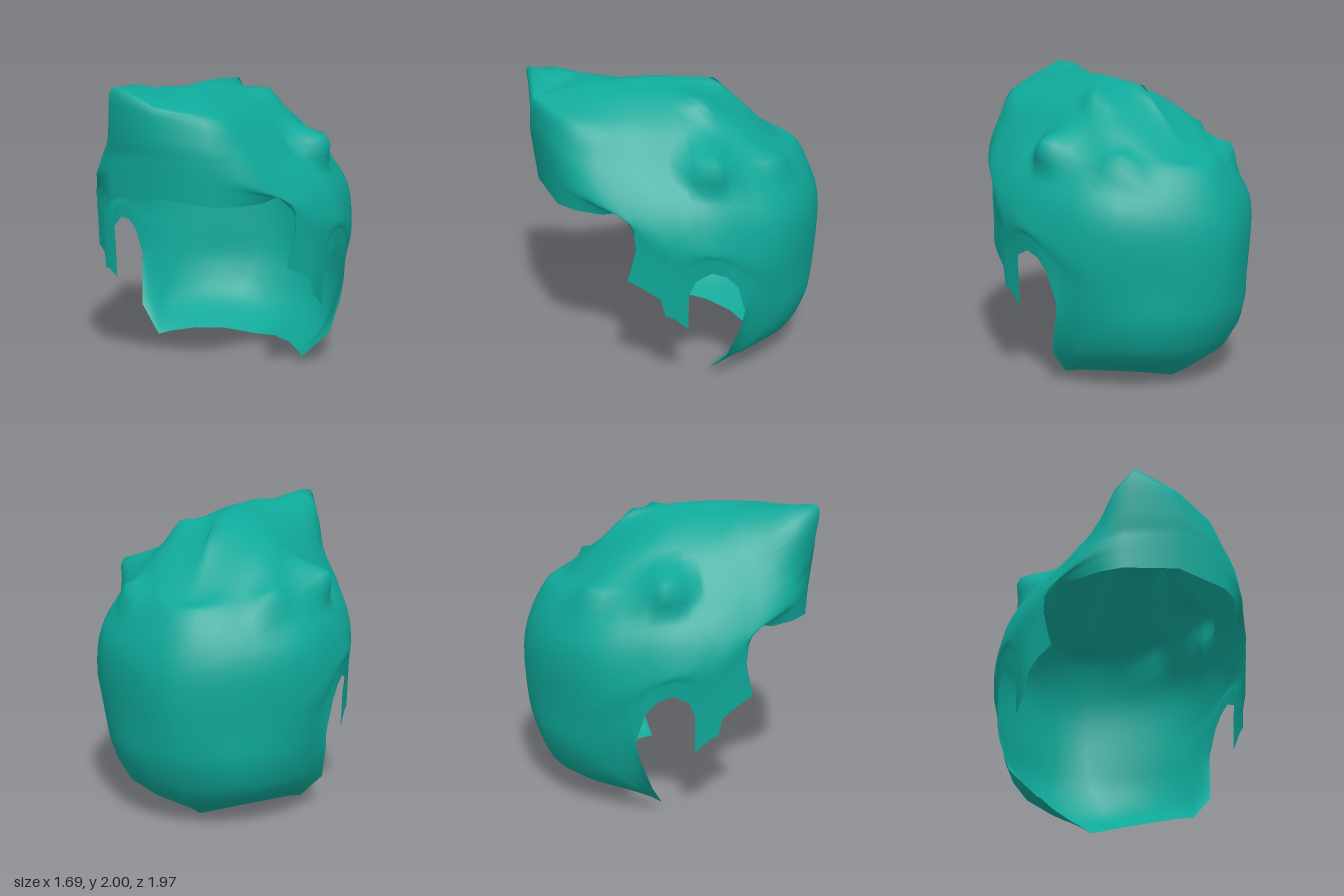
import * as THREE from 'three';
import { mergeVertices } from 'three/addons/utils/BufferGeometryUtils.js';

const V = (x, y, z) => new THREE.Vector3(x, y, z);

// Hem of one side, front centre to back centre: [x, y, z, station t from 0 to 1]
const HEM = [
  [0, 1.32, 0.95, 0], [0.36, 1.285, 0.88, 0.125], [0.48, 1.28, 0.78, 0.19], [0.58, 1.28, 0.63, 0.25],
  [0.63, 1.31, 0.52, 0.3], [0.73, 1.2, 0.46, 0.335], [0.73, 1.07, 0.45, 0.36], [0.69, 0.85, 0.5, 0.41],
  [0.74, 0.8, 0.4, 0.44], [0.77, 0.73, 0.3, 0.47], [0.78, 0.61, 0.27, 0.49], [0.78, 0.59, 0.22, 0.505],
  [0.78, 0.5, 0.12, 0.54], [0.79, 0.75, 0.12, 0.56], [0.82, 0.86, 0.08, 0.59], [0.82, 0.905, -0.02, 0.62],
  [0.82, 0.87, -0.12, 0.65], [0.81, 0.78, -0.2, 0.68], [0.785, 0.58, -0.26, 0.74], [0.775, 0.45, -0.23, 0.79],
  [0.73, 0.23, -0.15, 0.84], [0.56, 0.05, -0.08, 0.88], [0.5, 0.062, -0.15, 0.91], [0.37, 0.062, -0.3, 0.94],
  [0.2, 0.045, -0.43, 0.97], [0, 0.005, -0.52, 1],
];

// Rings above the hem, seven stations each, front centre to back centre
const BELT = [[0, 1.45, 0.965], [0.46, 1.44, 0.82], [0.7, 1.28, 0.49], [0.81, 1.12, 0.22],
  [0.835, 1.05, -0.12], [0.67, 0.84, -0.59], [0, 0.62, -0.96]];
const LOWER_SIDE = [[0, 1.57, 0.98], [0.45, 1.53, 0.81], [0.64, 1.4, 0.48], [0.74, 1.33, 0.2],
  [0.77, 1.28, -0.15], [0.63, 1.18, -0.62], [0, 1.08, -0.97]];
const SHOULDER = [[0, 1.7, 0.99], [0.41, 1.64, 0.8], [0.52, 1.59, 0.47], [0.57, 1.55, 0.18],
  [0.6, 1.52, -0.16], [0.49, 1.44, -0.53], [0, 1.43, -0.83]];
const UPPER_SIDE = [[0, 1.87, 0.97], [0.34, 1.8, 0.76], [0.38, 1.78, 0.45], [0.4, 1.76, 0.15],
  [0.4, 1.74, -0.16], [0.31, 1.65, -0.43], [0, 1.5, -0.68]];

// Locks pulled out of the surface: base, tip, reach
const LOCKS = [
  [V(-0.31, 1.82, 0.84), V(-0.34, 2.02, 0.98), 0.27],
  [V(-0.22, 1.86, 0.6), V(-0.21, 1.94, 0.62), 0.25],
  [V(0.27, 1.86, -0.1), V(0.31, 1.93, -0.1), 0.15],
];
for (const s of [1, -1]) {
  LOCKS.push([V(0.58 * s, 1.53, -0.05), V(0.75 * s, 1.59, -0.05), 0.2]);
  LOCKS.push([V(0.48 * s, 1.45, -0.52), V(0.52 * s, 1.54, -0.56), 0.15]);
}

// A symmetric closed curve through one ring
function ringCurve(points) {
  const half = points.map((p) => V(...p));
  const other = points.slice(1, -1).reverse().map(([x, y, z]) => V(-x, y, z));
  return new THREE.CatmullRomCurve3([...half, ...other], true, 'catmullrom', 0.5);
}

// Centre ridge where both sides meet
const crownPoint = (t) => V(0, 1.925 + 0.045 * Math.sin(Math.PI * t), 0.88 - 1.12 * t);

// Flattened top between the upper side and the crown
function topPoint(upper, t) {
  const p = upper.clone().lerp(crownPoint(t), 0.5);
  p.y += 0.035 * Math.sin(Math.PI * t);
  return p;
}

// Keeps the nape round between hem and belt
function napePoint(hem, belt, t, amount) {
  const p = hem.clone().lerp(belt, amount);
  const k = THREE.MathUtils.smoothstep(t, 0.68, 0.82);
  const radius = Math.sqrt(1 - 0.67 * Math.max(0, 1 - p.y / 0.95) ** 3);
  const f = 1 + (radius / Math.hypot(p.x / 0.82, p.z / 0.97) - 1) * k;
  return V(p.x * f, p.y, p.z * f);
}

function pullLocks(p) {
  const shift = V(0, 0, 0);
  for (const [base, tip, reach] of LOCKS) {
    const w = Math.max(0, 1 - p.distanceTo(base) / reach);
    shift.addScaledVector(tip.clone().sub(base), w);
  }
  return p.add(shift);
}

function hairGeometry() {
  const curves = [BELT, LOWER_SIDE, SHOULDER, UPPER_SIDE].map(ringCurve);
  const steps = 36;

  // One strand line from each hem point up to the crown
  const columns = HEM.map(([x, y, z, t]) => {
    const hem = V(x, y, z);
    const ring = curves.map((c) => c.getPoint(t / 2));
    const nape = [0.25, 0.6].map((amount) => napePoint(hem, ring[0], t, amount));
    const line = [hem, ...nape, ...ring, topPoint(ring[3], t), crownPoint(t)];
    const path = new THREE.CatmullRomCurve3(line, false, 'catmullrom', 0.5);
    return Array.from({ length: steps + 1 }, (_, i) => {
      const p = path.getPoint(i / steps);
      if (t === 0 || t === 1 || i === steps) p.x = 0;
      return p;
    });
  });

  // Both sides, welded along the centre
  const position = [];
  const index = [];
  for (const side of [1, -1]) {
    const start = position.length / 3;
    for (const column of columns) {
      for (const p of column) position.push(...pullLocks(V(p.x * side, p.y, p.z)).toArray());
    }
    for (let c = 0; c < columns.length - 1; c++) {
      for (let r = 0; r < steps; r++) {
        const a = start + c * (steps + 1) + r;
        const b = a + steps + 1;
        if (side > 0) index.push(a, b, a + 1, b, b + 1, a + 1);
        else index.push(a, a + 1, b, b, a + 1, b + 1);
      }
    }
  }
  const geometry = new THREE.BufferGeometry();
  geometry.setAttribute('position', new THREE.Float32BufferAttribute(position, 3));
  geometry.setIndex(index);
  const welded = mergeVertices(geometry, 1e-4);
  welded.computeVertexNormals();
  return welded;
}

export function createModel() {
  const teal = new THREE.MeshStandardMaterial({ color: 0x0fa899, side: THREE.DoubleSide });
  teal.name = 'teal';

  const hair = new THREE.Mesh(hairGeometry(), teal);
  hair.name = 'hair';

  const model = new THREE.Group();
  model.name = 'hairpiece';
  model.add(hair);
  return model;
}
